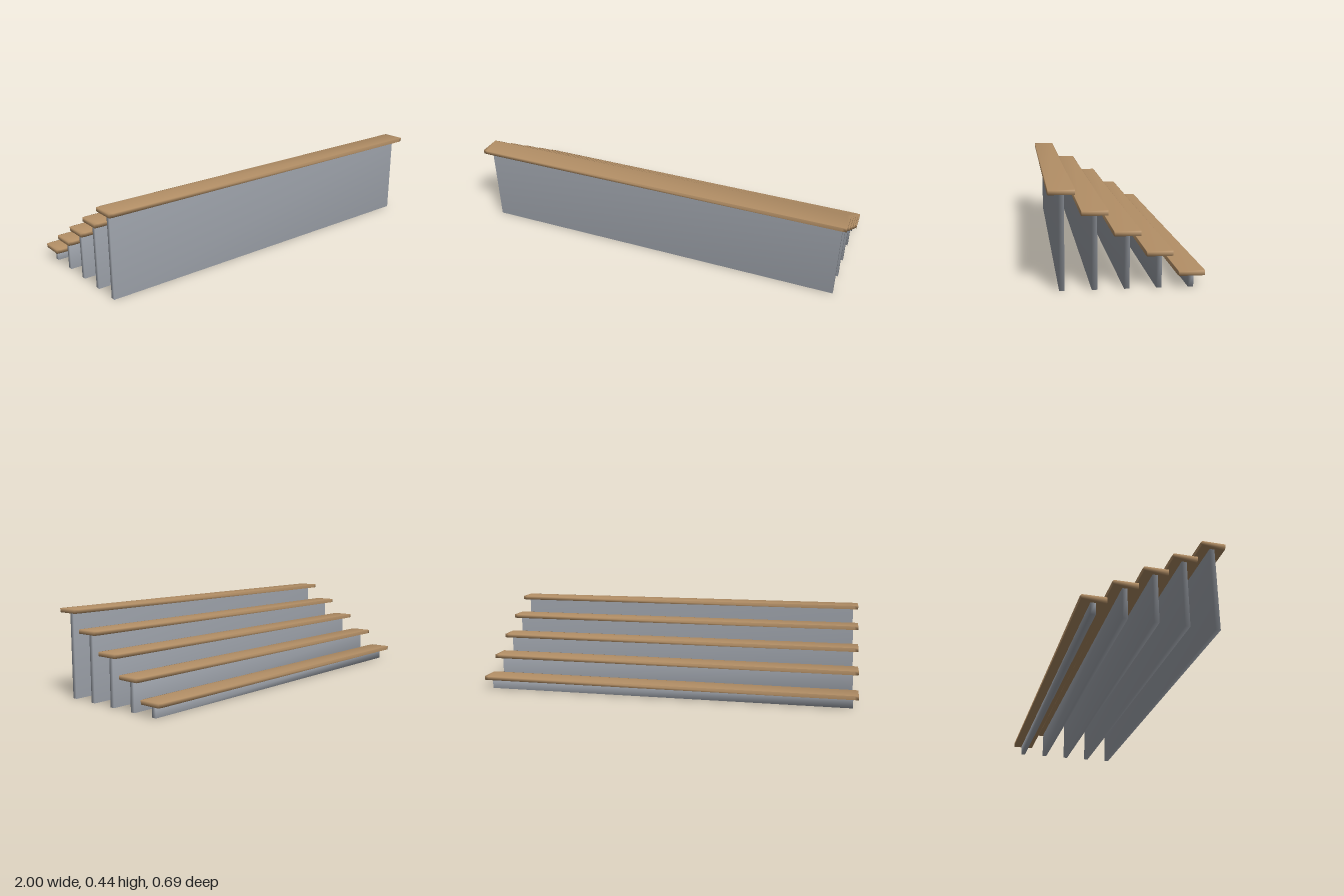
import * as THREE from 'three';
import { mergeVertices } from 'three/addons/utils/BufferGeometryUtils.js';

// Share vertices so the thin edges blend softly into the broad faces.
function soften(geometry) {
  geometry.deleteAttribute('normal');
  geometry.deleteAttribute('uv');
  const merged = mergeVertices(geometry, 1e-4);
  merged.computeVertexNormals();
  return merged;
}

// Plank with slightly clipped ends in plan, centred on x and z, base at y = 0.
function plankGeometry(length, height, depth, cutX, cutZ) {
  const x = length / 2, z = depth / 2;
  const shape = new THREE.Shape([
    [-x + cutX, -z], [x - cutX, -z], [x, -z + cutZ], [x, z - cutZ],
    [x - cutX, z], [-x + cutX, z], [-x, z - cutZ], [-x, -z + cutZ],
  ].map(([px, pz]) => new THREE.Vector2(px, pz)));
  const geometry = new THREE.ExtrudeGeometry(shape, { depth: height, bevelEnabled: false });
  geometry.rotateX(-Math.PI / 2);
  return soften(geometry);
}

export function createModel() {
  const wood = new THREE.MeshStandardMaterial({ color: 0xb38f66 });
  wood.name = 'wood';
  const grey = new THREE.MeshStandardMaterial({ color: 0x9ca1a9 });
  grey.name = 'grey';

  const group = new THREE.Group();
  group.name = 'steppedBenches';
  const thickness = 0.02;
  const seat = plankGeometry(2, thickness, 0.12, 0.02, 0.003);

  // Five rows, rising from the back to the front.
  for (let i = 0; i < 5; i++) {
    const row = new THREE.Group();
    row.name = `row${i + 1}`;
    row.position.z = -0.284 + i * 0.142;
    const wallHeight = 0.057 + i * 0.092;

    const wallGeometry = soften(new THREE.BoxGeometry(1.95, wallHeight, 0.024));
    const wall = new THREE.Mesh(wallGeometry, grey);
    wall.name = 'supportWall';
    wall.position.y = wallHeight / 2;

    const plank = new THREE.Mesh(seat, wood);
    plank.name = 'seatPlank';
    plank.position.y = wallHeight;

    row.add(wall, plank);
    group.add(row);
  }
  return group;
}
